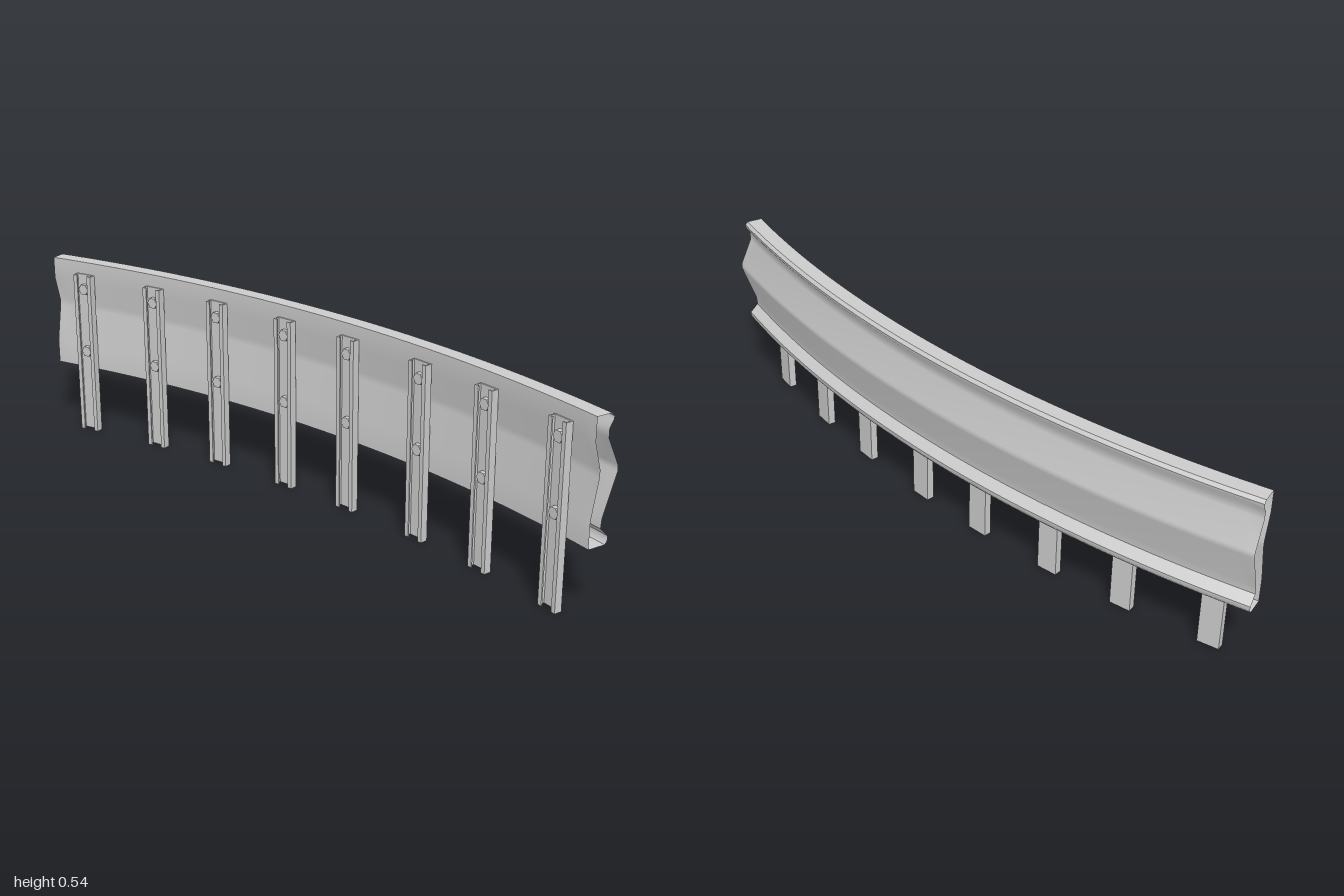
import * as THREE from 'three';
import { toCreasedNormals } from 'three/addons/utils/BufferGeometryUtils.js';

const R = 3.91;              // radius of the bend at the rail's crest
const CENTRE_X = 0.102 - R;  // centre of the bend
const BACK = 0.026;          // x of the rail's flat back at mid length

export function createModel() {
  const model = new THREE.Group();
  const material = new THREE.MeshStandardMaterial({ color: 0xcccccc });
  const shell = new THREE.MeshStandardMaterial({ color: 0xcccccc, side: THREE.DoubleSide });

  // Bent rail: hollow closed section (x at mid length, y), open at both ends
  const section = [
    [BACK, 0.2], [0.077, 0.2], [0.084, 0.209], [0.084, 0.222], [0.06, 0.246],
    [0.062, 0.272], [0.101, 0.383], [0.102, 0.391], [0.101, 0.4], [0.066, 0.476],
    [0.066, 0.5], [0.078, 0.519], [0.079, 0.528], [0.071, 0.537],
    [BACK, 0.537], [BACK, 0.473], [0.046, 0.4], [0.046, 0.38], [BACK, 0.273], [BACK, 0.2],
  ].map(([x, y]) => new THREE.Vector2(x - CENTRE_X, y));
  const half = Math.asin(1 / R);
  const railGeo = new THREE.LatheGeometry(section, 48, Math.PI / 2 - half, 2 * half);
  const rail = new THREE.Mesh(toCreasedNormals(railGeo, 0.7), shell);
  rail.name = 'rail';
  rail.position.x = CENTRE_X;
  model.add(rail);

  // Post: lipped C channel, open towards the back
  const w = 0.031, d = 0.022, t = 0.004, lip = 0.013;
  const channel = new THREE.Shape([
    [0, -w], [0, w], [-d, w], [-d, w - lip], [-d + t, w - lip], [-d + t, w - t],
    [-t, w - t], [-t, t - w], [-d + t, t - w], [-d + t, lip - w], [-d, lip - w], [-d, -w],
  ].map(([x, y]) => new THREE.Vector2(x, y)));
  const postGeo = new THREE.ExtrudeGeometry(channel, { depth: 0.5, bevelEnabled: false });
  postGeo.rotateX(-Math.PI / 2);

  // Hexagonal bolt head pointing backwards
  const boltGeo = toCreasedNormals(new THREE.CylinderGeometry(0.017, 0.017, 0.014, 6), 0.3);
  boltGeo.rotateZ(Math.PI / 2);

  const r = BACK - CENTRE_X;
  for (const z of [0.874, 0.62, 0.384, 0.12, -0.115, -0.37, -0.608, -0.865]) {
    const angle = Math.asin(z / r);
    const support = new THREE.Group();
    support.name = 'support';
    support.position.set(CENTRE_X + r * Math.cos(angle), 0, z);
    support.rotation.y = -angle;
    const post = new THREE.Mesh(postGeo, material);
    post.name = 'post';
    support.add(post);
    for (const y of [0.455, 0.257]) {
      const bolt = new THREE.Mesh(boltGeo, material);
      bolt.name = 'bolt';
      bolt.position.set(-t - 0.007, y, 0);
      support.add(bolt);
    }
    model.add(support);
  }
  return model;
}
